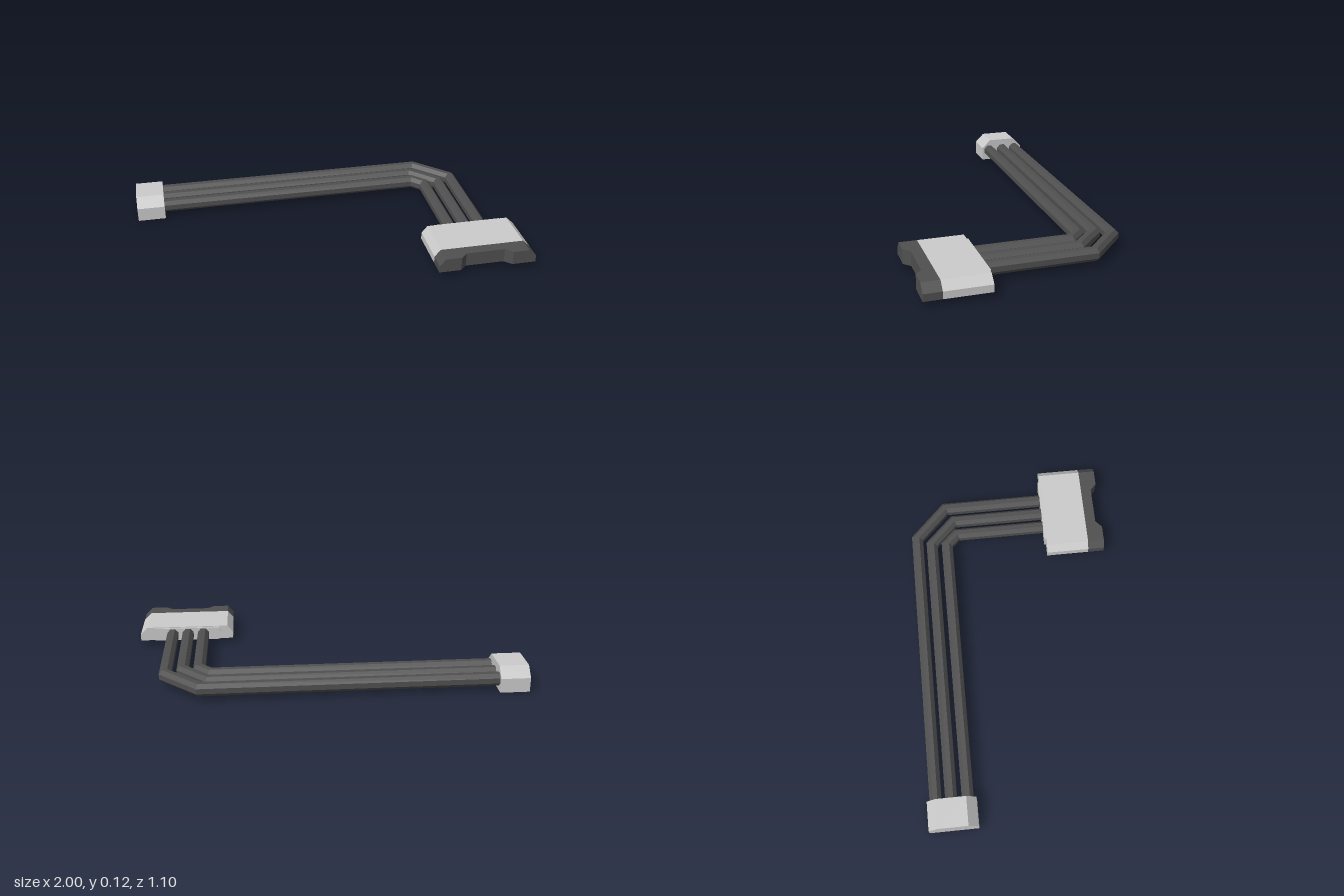
import * as THREE from 'three';

const grey = new THREE.MeshStandardMaterial({ color: 0xcccccc, flatShading: true, side: THREE.DoubleSide });
const dark = new THREE.MeshStandardMaterial({ color: 0x505050, flatShading: true, side: THREE.DoubleSide });

// Skins a row of equal rings (counter-clockwise about the travel direction) and caps both ends.
// With open = true the edge from the last to the first ring point is left out.
function loft(rings, open = false) {
  const n = rings[0].length, index = [];
  for (let i = 0; i < rings.length - 1; i++) {
    for (let j = 0; j < (open ? n - 1 : n); j++) {
      const k = (j + 1) % n, a = i * n, b = a + n;
      index.push(a + j, a + k, b + k, a + j, b + k, b + j);
    }
  }
  const end = (rings.length - 1) * n;
  for (let j = 1; j < n - 1; j++) {
    index.push(0, j + 1, j, end, end + j, end + j + 1);
  }
  const g = new THREE.BufferGeometry();
  g.setAttribute('position', new THREE.Float32BufferAttribute(rings.flat(2), 3));
  g.setIndex(index);
  const flat = g.toNonIndexed();
  flat.computeVertexNormals();
  return flat;
}

// Octagonal cable along [x, z] points with mitred corners
function cableGeometry(path) {
  const pts = path.map(([x, z]) => new THREE.Vector2(x, z));
  const dirs = pts.slice(1).map((p, i) => p.clone().sub(pts[i]).normalize());
  const r = 0.033 / Math.cos(Math.PI / 8);
  return loft(pts.map((p, i) => {
    const before = dirs[Math.max(i - 1, 0)], after = dirs[Math.min(i, dirs.length - 1)];
    const d = before.clone().add(after).normalize();
    const stretch = 0.92 / d.dot(before);
    return Array.from({ length: 8 }, (_, j) => {
      const a = (j + 0.5) * Math.PI / 4, s = Math.sin(a) * r * stretch;
      return [p.x - d.y * s, 0.058 + Math.cos(a) * r, p.y + d.x * s];
    });
  }));
}

export function createModel() {
  const model = new THREE.Group();
  const add = (name, geometry, material) => {
    const mesh = new THREE.Mesh(geometry, material);
    mesh.name = name;
    model.add(mesh);
    return mesh;
  };

  // Three parallel cables: [lane z, bend start x, lane x, bend end z]
  const lanes = [
    ['outerCable', -0.505, 0.643, 0.82, -0.333],
    ['middleCable', -0.425, 0.6, 0.735, -0.29],
    ['innerCable', -0.34, 0.59, 0.65, -0.28],
  ];
  for (const [name, z, bendX, x, bendZ] of lanes) {
    add(name, cableGeometry([[-0.88, z], [bendX, z], [x, bendZ], [x, 0.42]]), dark);
  }

  // Small end socket, open underneath
  const socket = [[0, -0.55], [0.075, -0.55], [0.125, -0.5], [0.125, -0.345], [0.075, -0.295], [0, -0.295]];
  add('endSocket', loft([-1, -0.85].map(x => socket.map(([y, z]) => [x, y, z])), true), grey);

  // Wide plug housing, open underneath
  const housing = [[1, 0.025], [1, 0.062], [0.96, 0.1], [0.515, 0.1], [0.485, 0.062], [0.485, 0.025]];
  add('plugHousing', loft([0.222, 0.455].map(z => housing.map(([x, y]) => [x, y, z])), true), grey);

  // Thin collar where the cables enter the plug
  add('plugCollar', new THREE.BoxGeometry(0.365, 0.07, 0.012), grey).position.set(0.738, 0.06, 0.218);

  // Dark plug nose with a notched front: [x, top y, front z]
  const nose = [
    [0.485, 0.062, 0.545], [0.515, 0.1, 0.545], [0.6, 0.1, 0.545], [0.635, 0.1, 0.512],
    [0.84, 0.1, 0.512], [0.875, 0.1, 0.545], [0.96, 0.1, 0.545], [1, 0.062, 0.545],
  ];
  add('plugNose', loft(nose.map(([x, y, z]) => [[x, y, 0.455], [x, y, z], [x, 0.025, z], [x, 0.025, 0.455]])), dark);

  return model;
}
